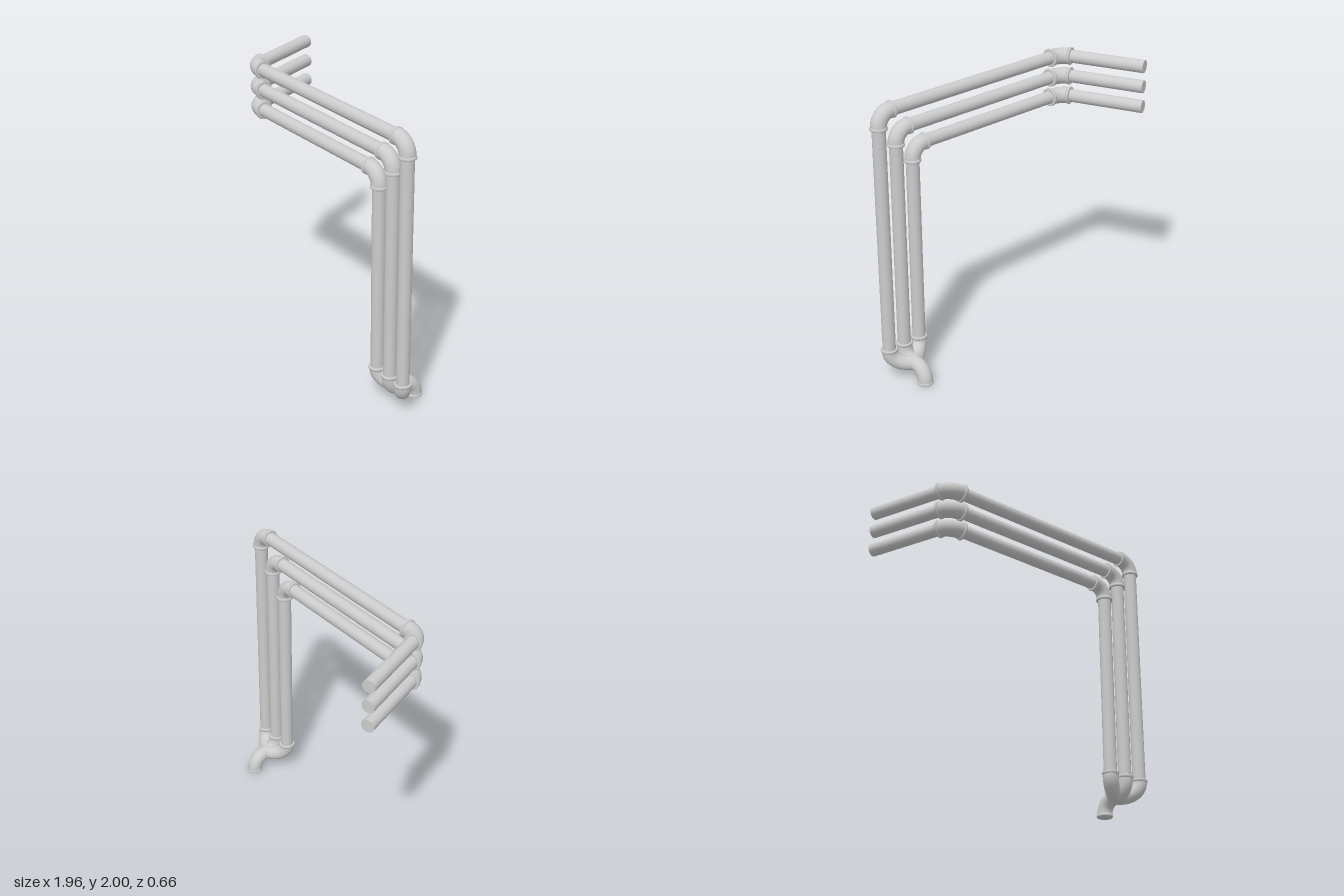
import * as THREE from 'three';

const material = new THREE.MeshStandardMaterial({ color: 0xcccccc });
const V = (x, y, z) => new THREE.Vector3(x, y, z);
const PIPE_R = 0.045, SIDES = 32;
const RUN_Z = 0.265;

function addMesh(parent, name, geometry) {
  const mesh = new THREE.Mesh(geometry, material);
  mesh.name = name;
  parent.add(mesh);
  return mesh;
}

// Closed cylinder between two points
function rod(parent, name, a, b, radius) {
  const dir = b.clone().sub(a);
  const mesh = addMesh(parent, name, new THREE.CylinderGeometry(radius, radius, dir.length(), SIDES));
  mesh.position.copy(a).add(b).multiplyScalar(0.5);
  mesh.quaternion.setFromUnitVectors(V(0, 1, 0), dir.normalize());
}

// Rounded lip around a fitting's mouth, running inwards from the mouth
function collar(parent, mouth, inward, radius) {
  const length = 0.024, b = 0.004;
  const profile = [[0, 0], [radius - b, 0], [radius, b], [radius, length * 0.6], [radius - 0.006, length], [0, length]];
  const mesh = addMesh(parent, 'collar', new THREE.LatheGeometry(
    profile.map(([r, y]) => new THREE.Vector2(r, y)), SIDES));
  mesh.position.copy(mouth);
  mesh.quaternion.setFromUnitVectors(V(0, 1, 0), inward.clone().normalize());
}

// Bent fitting from a to b around a corner, with a collar at each chosen end
function elbow(parent, name, a, corner, b, { body = 0.053, lip = 0.058, collarB = true, lipB = lip } = {}) {
  const group = new THREE.Group();
  group.name = name;
  const inA = corner.clone().sub(a), inB = corner.clone().sub(b);
  const p = a.clone().addScaledVector(inA, 0.15), q = b.clone().addScaledVector(inB, 0.15);
  const path = new THREE.CurvePath();
  path.add(new THREE.LineCurve3(a.clone().addScaledVector(inA, 0.03), p));
  path.add(new THREE.CubicBezierCurve3(p, p.clone().lerp(corner, 0.56), q.clone().lerp(corner, 0.56), q));
  path.add(new THREE.LineCurve3(q, b.clone().addScaledVector(inB, 0.03)));
  addMesh(group, 'bend', new THREE.TubeGeometry(path, 28, body, SIDES, false));
  collar(group, a, inA, lip);
  if (collarB) collar(group, b, inB, lipB);
  parent.add(group);
}

export function createModel() {
  const model = new THREE.Group();
  model.name = 'pipework';

  const outletX = 0.785, junction = V(outletX, 0.118, 0.165);
  const slant = V(-0.349, 0, -0.937);
  const runs = [[0.918, 1.935], [0.785, 1.79], [0.653, 1.645]];

  runs.forEach(([x, y], i) => {
    const run = new THREE.Group();
    run.name = `pipeRun${i + 1}`;
    model.add(run);
    const top = V(x, y, RUN_Z), bend = V(-0.724, y, RUN_Z), foot = V(x, 0.118, RUN_Z);

    // Straight pipes
    rod(run, 'verticalPipe', V(x, 0.2, RUN_Z), V(x, y - 0.08, RUN_Z), PIPE_R);
    rod(run, 'horizontalPipe', V(x - 0.08, y, RUN_Z), V(-0.65, y, RUN_Z), PIPE_R);
    rod(run, 'slantedPipe', bend.clone().addScaledVector(slant, 0.06), bend.clone().addScaledVector(slant, 0.624), PIPE_R);

    // Elbows at the top corner and at the slanted turn
    elbow(run, 'topElbow', V(x, y - 0.112, RUN_Z), top, V(x - 0.115, y, RUN_Z));
    elbow(run, 'slantedElbow', V(-0.61, y, RUN_Z), bend, bend.clone().addScaledVector(slant, 0.085),
      { body: 0.057, lip: 0.064, lipB: 0.062 });

    // Foot elbow turning in to the shared junction
    elbow(run, 'footElbow', V(x, 0.24, RUN_Z), foot, junction, { collarB: false });
  });

  // Junction and downward outlet
  addMesh(model, 'junction', new THREE.SphereGeometry(0.054, SIDES, 20)).position.copy(junction);
  elbow(model, 'outlet', V(outletX, 0, 0.055), V(outletX, 0.118, 0.055), junction,
    { collarB: false, lip: 0.056, body: 0.052 });

  return model;
}
